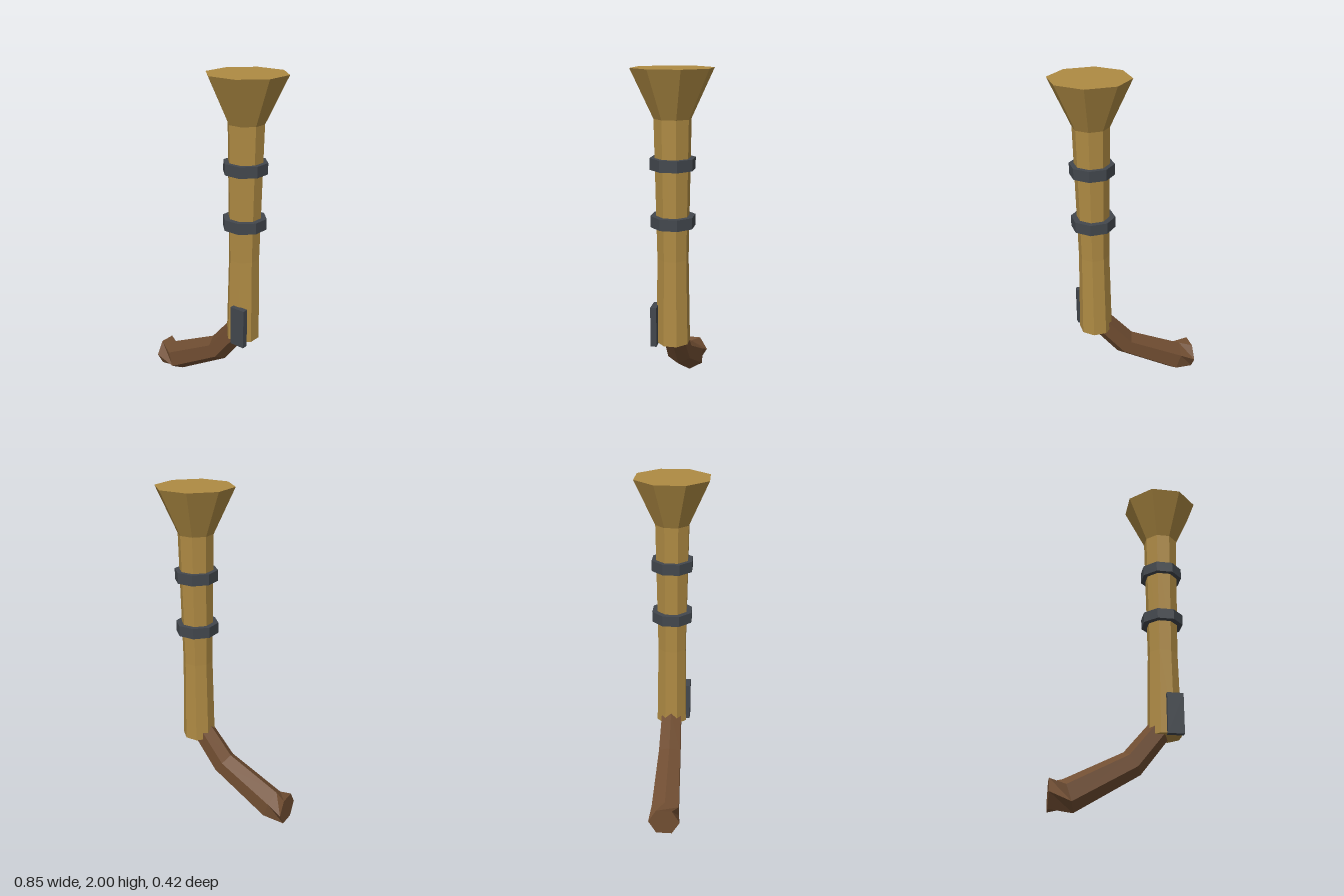
import * as THREE from 'three';

export function createModel() {
  const model = new THREE.Group();
  const mat = (name, color) => {
    const m = new THREE.MeshStandardMaterial({ color, flatShading: true });
    m.name = name;
    return m;
  };
  const brass = mat('brass', 0xae8a43);
  const wood = mat('wood', 0x714e32);
  const iron = mat('iron', 0x42474d);
  const add = (name, geometry, material, x = 0, y = 0, z = 0) => {
    const mesh = new THREE.Mesh(geometry, material);
    mesh.name = name;
    mesh.position.set(x, y, z);
    model.add(mesh);
  };

  // Octagonal solids with flats facing the axes, from [apothem, height] pairs
  const axisX = 0.214;
  const octagon = (profile) => new THREE.LatheGeometry(
    profile.map(([a, y]) => new THREE.Vector2(a / Math.cos(Math.PI / 8), y)), 8, Math.PI / 8
  ).toNonIndexed();

  // Barrel with flared muzzle
  add('barrel', octagon([
    [0, 0.44], [0.092, 0.44], [0.083, 0.95], [0.096, 1.735], [0.211, 2], [0, 2],
  ]), brass, axisX);

  // Barrel bands
  for (const [name, y] of [['lowerBand', 1.17], ['upperBand', 1.493]]) {
    add(name, octagon([[0, -0.032], [0.118, -0.032], [0.118, 0.032], [0, 0.032]]), iron, axisX, y);
  }

  // Lock plate
  add('lockPlate', new THREE.BoxGeometry(0.095, 0.24, 0.035), iron, 0.258, 0.552, 0.0975);

  // Hexagonal stock: centre, ridge direction, radius and twist of each section
  const sections = [
    { c: [0.178, 0.47], u: [-0.75, 0.66], r: 0.071, twist: 0 },
    { c: [0.0275, 0.2825], u: [-0.605, 0.796], r: 0.0785, twist: 0 },
    { c: [-0.32, 0.091], u: [-0.324, 0.946], r: 0.095, twist: 0 },
    { c: [-0.426, 0.092], u: [0, 1], r: 0.095, twist: Math.PI / 2 },
  ];
  const rings = sections.map(({ c, u, r, twist }) => Array.from({ length: 6 }, (_, i) => {
    const a = i * Math.PI / 3 + twist;
    const h = r * Math.cos(a);
    return [c[0] + u[0] * h, c[1] + u[1] * h, -r * Math.sin(a)];
  }));
  const points = [];
  const tri = (...corners) => corners.forEach((p) => points.push(...p));
  const first = [...sections[0].c, 0];
  const last = [...sections[3].c, 0];
  for (let i = 0; i < 6; i++) {
    const j = (i + 1) % 6;
    for (let k = 0; k < 3; k++) {
      const a = rings[k], b = rings[k + 1];
      tri(a[i], a[j], b[i]);
      tri(a[j], b[j], b[i]);
    }
    tri(first, rings[0][j], rings[0][i]);
    tri(last, rings[3][i], rings[3][j]);
  }
  const stock = new THREE.BufferGeometry();
  stock.setAttribute('position', new THREE.Float32BufferAttribute(points, 3));
  stock.computeVertexNormals();
  add('stock', stock, wood);

  return model;
}
